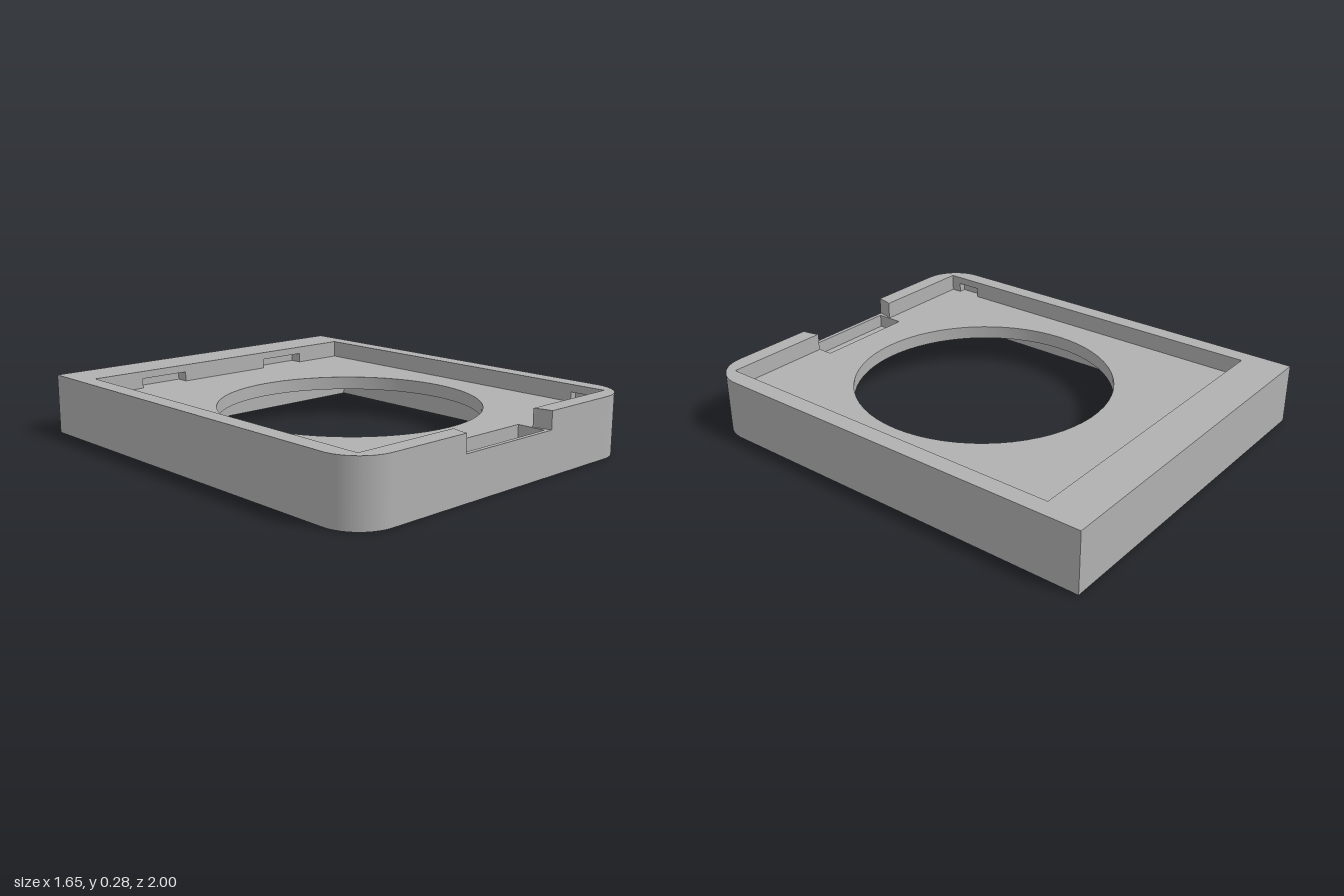
import * as THREE from 'three';
import { toCreasedNormals } from 'three/addons/utils/BufferGeometryUtils.js';

// Half width, corner radius and layer heights
const W = 0.825, R = 0.175;
const Y_PLATE = 0.134, Y_FLOOR = 0.195, Y_SLOT = 0.24, Y_TOP = 0.275;
// Inside of the rim
const PX = 0.745, BACK = -0.8, FRONT = 0.92;

// Shapes are drawn in plan as (x, -z)
function rectPath(x, z0, z1) {
  return new THREE.Path([[-x, -z0], [x, -z0], [x, -z1], [-x, -z1]].map(p => new THREE.Vector2(...p)));
}

// Full outline: square back corners, rounded front corners
function outline() {
  const s = new THREE.Shape();
  s.moveTo(W, 1);
  s.lineTo(-W, 1);
  s.lineTo(-W, -1 + R);
  s.absarc(-W + R, -1 + R, R, Math.PI, Math.PI * 1.5, false);
  s.lineTo(W - R, -1);
  s.absarc(W - R, -1 + R, R, Math.PI * 1.5, Math.PI * 2, false);
  s.closePath();
  return s;
}

// Rim open at the front notch; `inner` lists the right half of the inside wall, front to back
function rim(inner) {
  const s = new THREE.Shape();
  s.moveTo(0.262, -1);
  s.lineTo(W - R, -1);
  s.absarc(W - R, -1 + R, R, Math.PI * 1.5, Math.PI * 2, false);
  s.lineTo(W, 1);
  s.lineTo(-W, 1);
  s.lineTo(-W, -1 + R);
  s.absarc(-W + R, -1 + R, R, Math.PI, Math.PI * 1.5, false);
  s.lineTo(-0.262, -1);
  s.quadraticCurveTo(-0.257, -0.95, -0.243, -FRONT);
  inner.forEach(([x, z]) => s.lineTo(-x, -z));
  [...inner].reverse().forEach(([x, z]) => s.lineTo(x, -z));
  s.lineTo(0.243, -FRONT);
  s.quadraticCurveTo(0.257, -0.95, 0.262, -1);
  return s;
}

export function createModel() {
  const group = new THREE.Group();
  group.name = 'trayFrame';
  const grey = new THREE.MeshStandardMaterial({ color: 0xb0b0b0 });
  grey.name = 'grey';

  function layer(name, shape, y0, y1) {
    const g = new THREE.ExtrudeGeometry(shape, { depth: y1 - y0, bevelEnabled: false, curveSegments: 32 });
    g.rotateX(-Math.PI / 2);
    g.translate(0, y0, 0);
    const mesh = new THREE.Mesh(toCreasedNormals(g, 0.5), grey);
    mesh.name = name;
    group.add(mesh);
  }

  // Lower skirt around the underside recess
  const skirt = outline();
  skirt.holes.push(rectPath(PX, -0.725, FRONT));
  layer('lowerSkirt', skirt, 0, Y_PLATE);

  // Floor plate with round opening and front slot
  const plate = outline();
  const circle = new THREE.Path();
  circle.absarc(0, -0.1, 0.588, 0, Math.PI * 2, true);
  plate.holes.push(circle, rectPath(0.24, 0.85, 0.98));
  layer('floorPlate', plate, Y_PLATE, Y_FLOOR);

  // Rim base with undercut catches in the sides and back
  const side = PX + 0.035, deep = BACK - 0.06;
  layer('rimWithCatches', rim([
    [PX, FRONT], [PX, 0.87], [side, 0.87], [side, 0.75], [PX, 0.75], [PX, BACK],
    [0.49, BACK], [0.49, deep], [0.245, deep], [0.245, BACK],
  ]), Y_FLOOR, Y_SLOT);

  // Plain upper rim
  layer('upperRim', rim([[PX, FRONT], [PX, BACK]]), Y_SLOT, Y_TOP);

  return group;
}
